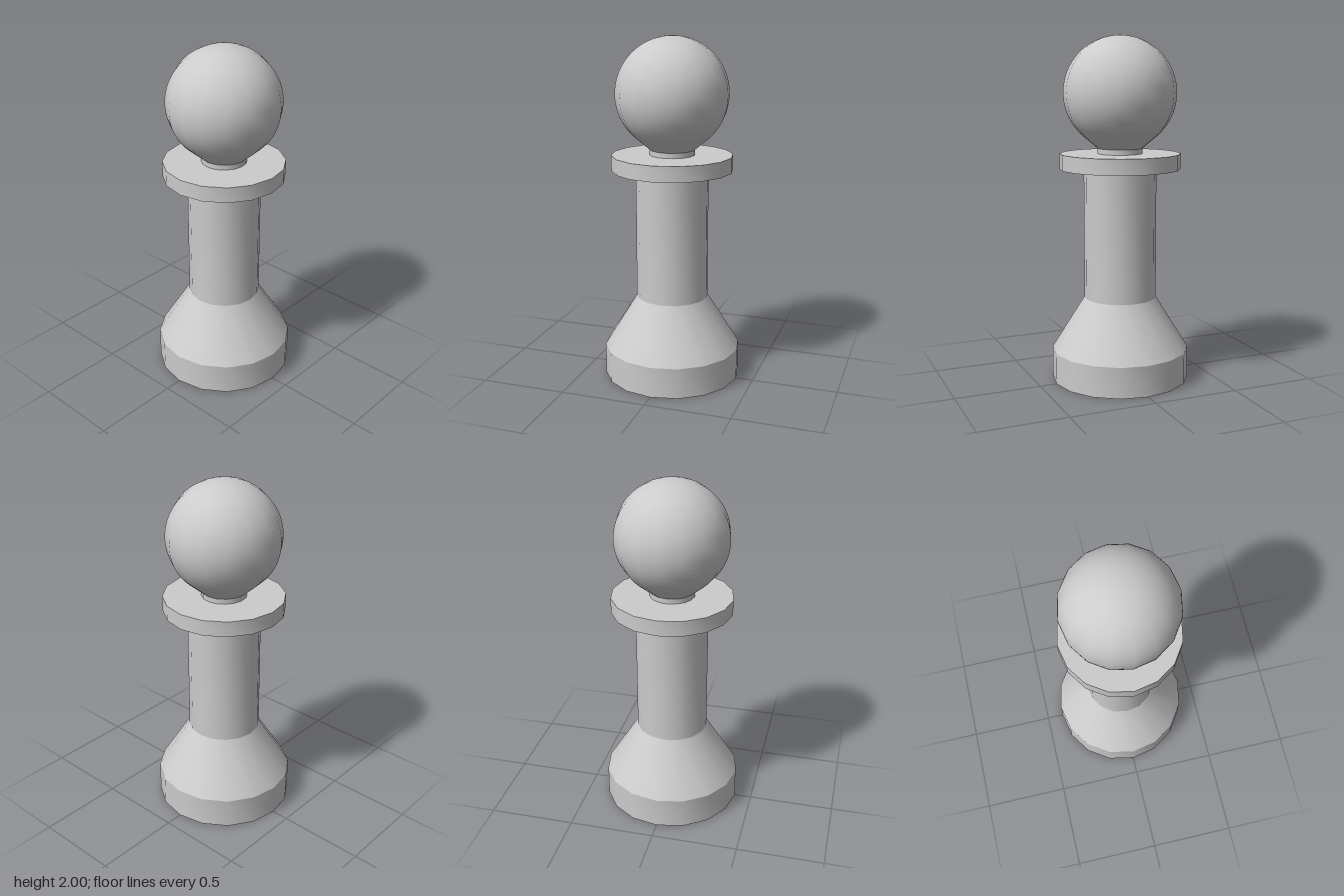
import * as THREE from 'three';
import { toCreasedNormals } from 'three/addons/utils/BufferGeometryUtils.js';

const SIDES = 16;

export function createModel() {
  const model = new THREE.Group();
  const material = new THREE.MeshStandardMaterial({ color: 0xcccccc });

  // Turned part: [radius, height] profile from bottom to top
  function turned(name, profile, creased = true) {
    const points = profile.map(([r, y]) => new THREE.Vector2(r, y));
    let geometry = new THREE.LatheGeometry(points, SIDES);
    if (creased) geometry = toCreasedNormals(geometry, 0.45);
    const mesh = new THREE.Mesh(geometry, material);
    mesh.name = name;
    model.add(mesh);
  }

  // Foot with closed underside and sloping shoulder
  turned('base', [[0, 0], [0.4, 0], [0.4, 0.18], [0.21, 0.485]]);
  turned('stem', [[0.21, 0.485], [0.21, 1.24]]);
  turned('collar', [[0.21, 1.24], [0.35, 1.24], [0.35, 1.33], [0.13, 1.33]]);
  turned('neck', [[0.13, 1.33], [0.13, 1.36]]);

  // Ball head, flared out from the neck and then round to the top
  const head = [[0.13, 1.36]];
  const radius = 0.325, centre = 1.675, steps = 28, start = -0.85;
  for (let i = 0; i <= steps; i++) {
    const a = start + (Math.PI / 2 - start) * i / steps;
    head.push([i === steps ? 0 : radius * Math.cos(a), centre + radius * Math.sin(a)]);
  }
  turned('head', head, false);

  return model;
}
